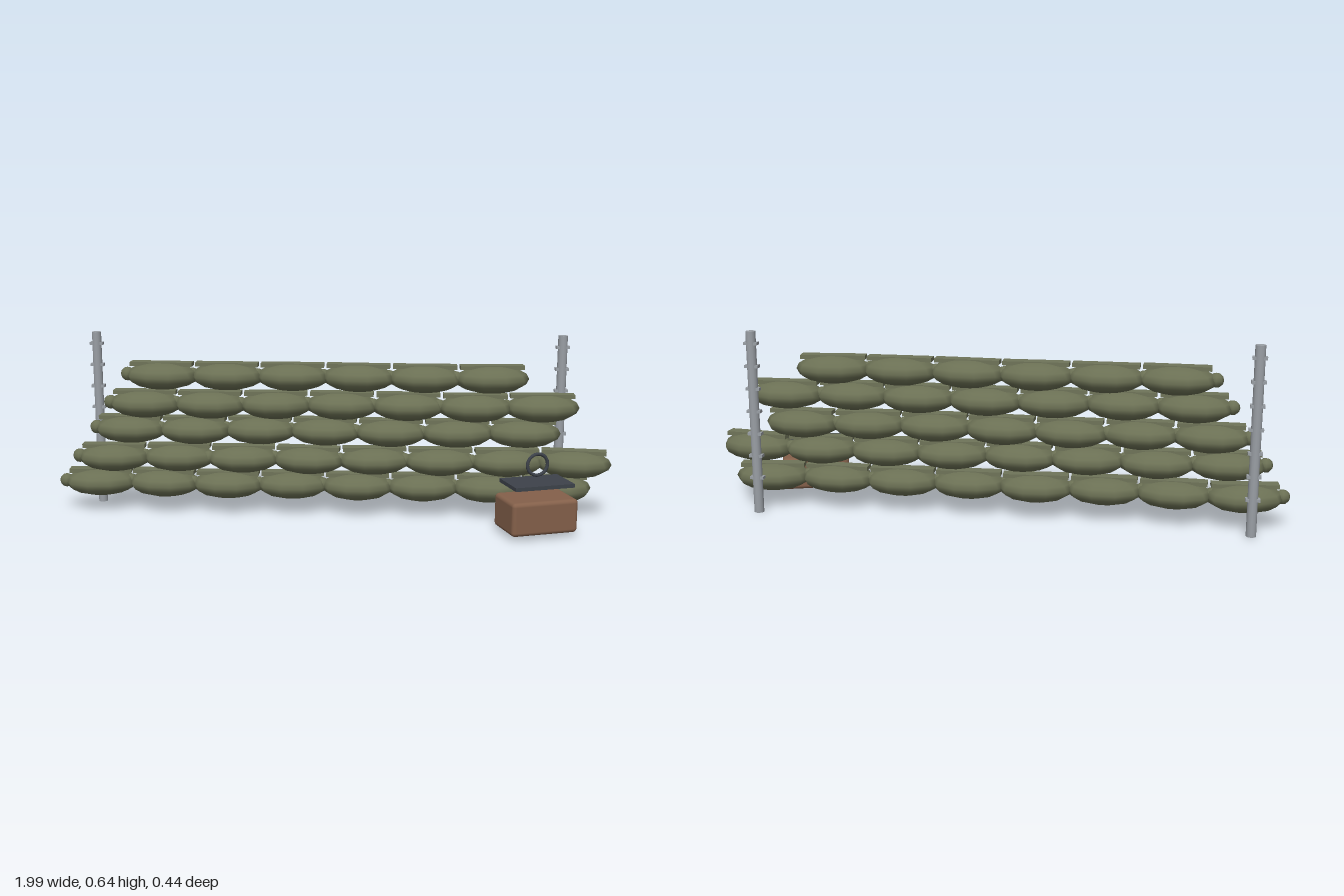
import * as THREE from 'three';
import { RoundedBoxGeometry } from 'three/addons/geometries/RoundedBoxGeometry.js';

const material = (color) => new THREE.MeshStandardMaterial({ color });

function mesh(name, geometry, mat, x = 0, y = 0, z = 0) {
  const m = new THREE.Mesh(geometry, mat);
  m.name = name;
  m.position.set(x, y, z);
  return m;
}

export function createModel() {
  const model = new THREE.Group();
  model.name = 'sandbagWall';

  const cloth = material(0x6b7054);
  const seamCloth = material(0x6f7459);
  const steel = material(0x9a9fa5);
  const dark = material(0x3d424a);
  const brown = material(0x84604a);

  // Small repeatable jitter, -1 to 1
  let seed = 7;
  const jitter = () => {
    seed = (seed * 16807) % 2147483647;
    return (seed / 2147483647) * 2 - 1;
  };

  // One bag: faceted ellipsoid, sewn flap on top, tied neck at the -x end
  const bodyGeo = new THREE.SphereGeometry(1, 10, 8).scale(0.1325, 0.05, 0.085);
  const flapGeo = new THREE.BoxGeometry(0.225, 0.014, 0.045);
  const neckGeo = new THREE.SphereGeometry(0.025, 8, 6);
  function sandbag() {
    const bag = new THREE.Group();
    bag.name = 'sandbag';
    bag.add(
      mesh('bagBody', bodyGeo, cloth),
      mesh('bagFlap', flapGeo, seamCloth, 0, 0.043, 0),
      mesh('bagNeck', neckGeo, cloth, -0.127, 0.004, 0),
    );
    return bag;
  }

  // Five staggered courses: first bag x, bag count, height, depth position, end yaw
  const courses = [
    [-0.848, 8, 0.103, -0.1, 0.12],
    [-0.788, 8, 0.203, -0.082, -0.12],
    [-0.73, 7, 0.303, -0.1, -0.03],
    [-0.67, 7, 0.4, -0.082, 0.02],
    [-0.612, 6, 0.498, -0.108, 0.08],
  ];
  courses.forEach(([x0, count, y, z, endYaw], row) => {
    const course = new THREE.Group();
    course.name = `sandbagCourse${row + 1}`;
    for (let i = 0; i < count; i++) {
      const bag = sandbag();
      bag.position.set(x0 + i * 0.235, y, z + 0.009 * jitter());
      bag.rotation.y = i === count - 1 ? endYaw : 0.1 * jitter();
      course.add(bag);
    }
    model.add(course);
  });

  // Fence posts with evenly spaced studs
  const postGeo = new THREE.CylinderGeometry(0.017, 0.017, 0.64, 12);
  const studGeo = new THREE.BoxGeometry(0.048, 0.01, 0.023);
  for (const x of [-0.87, 0.82]) {
    const post = new THREE.Group();
    post.name = 'fencePost';
    post.position.set(x, 0, -0.206);
    post.add(mesh('postShaft', postGeo, steel, 0, 0.32, 0));
    for (let i = 0; i < 7; i++) {
      post.add(mesh('postStud', studGeo, steel, 0, 0.125 + i * 0.0788, 0));
    }
    model.add(post);
  }

  // Rounded crate with a plate and ring handle above it
  const crate = new THREE.Group();
  crate.name = 'crate';
  crate.position.set(0.71, 0, 0.11);
  crate.rotation.y = 0.33;
  crate.add(
    mesh('crateBody', new RoundedBoxGeometry(0.24, 0.117, 0.162, 3, 0.014), brown, 0, 0.075, 0),
    mesh('cratePlate', new THREE.BoxGeometry(0.215, 0.013, 0.138), dark, 0, 0.179, 0),
    mesh('ringHandle', new THREE.TorusGeometry(0.037, 0.006, 8, 20), dark, 0, 0.243, 0),
  );
  model.add(crate);

  return model;
}
